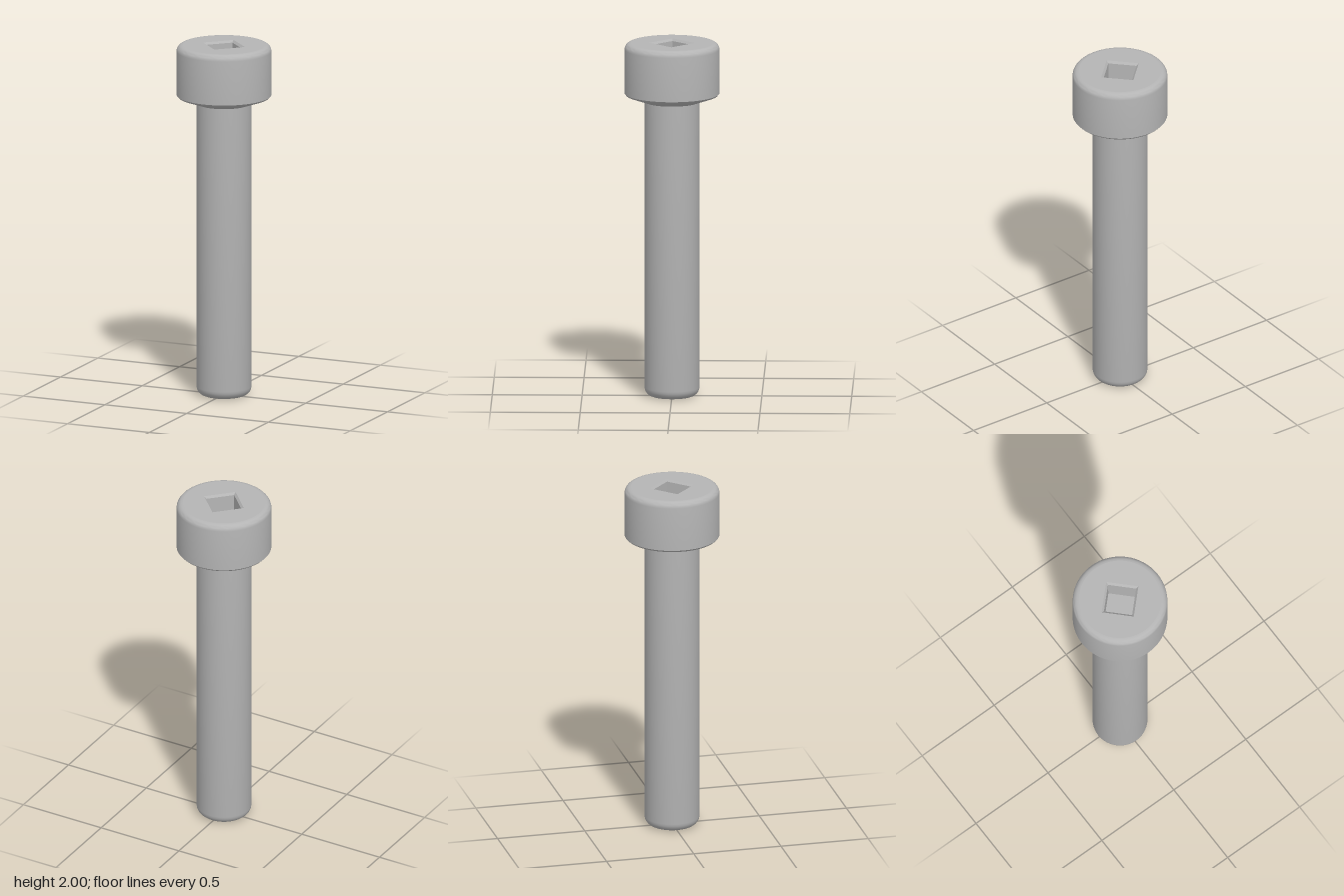
import * as THREE from 'three';
import { toCreasedNormals } from 'three/addons/utils/BufferGeometryUtils.js';

const SEGMENTS = 64;

// Points of a quarter-round corner, from angle a0 to a1
function arc(cx, cy, r, a0, a1, steps = 6) {
  const points = [];
  for (let i = 0; i <= steps; i++) {
    const a = a0 + ((a1 - a0) * i) / steps;
    points.push(new THREE.Vector2(cx + r * Math.cos(a), cy + r * Math.sin(a)));
  }
  return points;
}

export function createModel() {
  const group = new THREE.Group();
  group.name = 'socketHeadBolt';
  const steel = new THREE.MeshStandardMaterial({ color: 0xb4b4b4 });
  steel.name = 'grey steel';

  const add = (name, geometry) => {
    const mesh = new THREE.Mesh(geometry, steel);
    mesh.name = name;
    group.add(mesh);
  };
  const turned = (points, segments = SEGMENTS) =>
    toCreasedNormals(new THREE.LatheGeometry(points, segments), 0.55);
  const v = (x, y) => new THREE.Vector2(x, y);

  // Shank with a rounded tip
  add('shank', turned([
    v(0, 0),
    ...arc(0.103, 0.05, 0.05, -Math.PI / 2, 0),
    v(0.153, 1.68),
  ]));

  // Head: conical underside, straight side, rounded top rim
  const flat = 0.229;
  add('head', turned([
    v(0.15, 1.667),
    v(0.255, 1.705),
    v(0.264, 1.715),
    ...arc(flat, 1.965, 0.035, 0, Math.PI / 2),
  ]));

  // Top face with a square opening turned 45 degrees
  const rim = 0.128;
  const face = new THREE.Shape().absarc(0, 0, flat, 0, Math.PI * 2);
  face.holes.push(new THREE.Path([v(rim, 0), v(0, -rim), v(-rim, 0), v(0, rim)]));
  const top = new THREE.ShapeGeometry(face, SEGMENTS / 2);
  top.rotateX(-Math.PI / 2);
  top.translate(0, 2, 0);
  add('headTop', top);

  // Square socket: bevelled lip, walls and floor
  add('socket', turned([
    v(rim, 2),
    v(0.112, 1.988),
    v(0.108, 1.86),
    v(0, 1.86),
  ], 4));

  return group;
}
